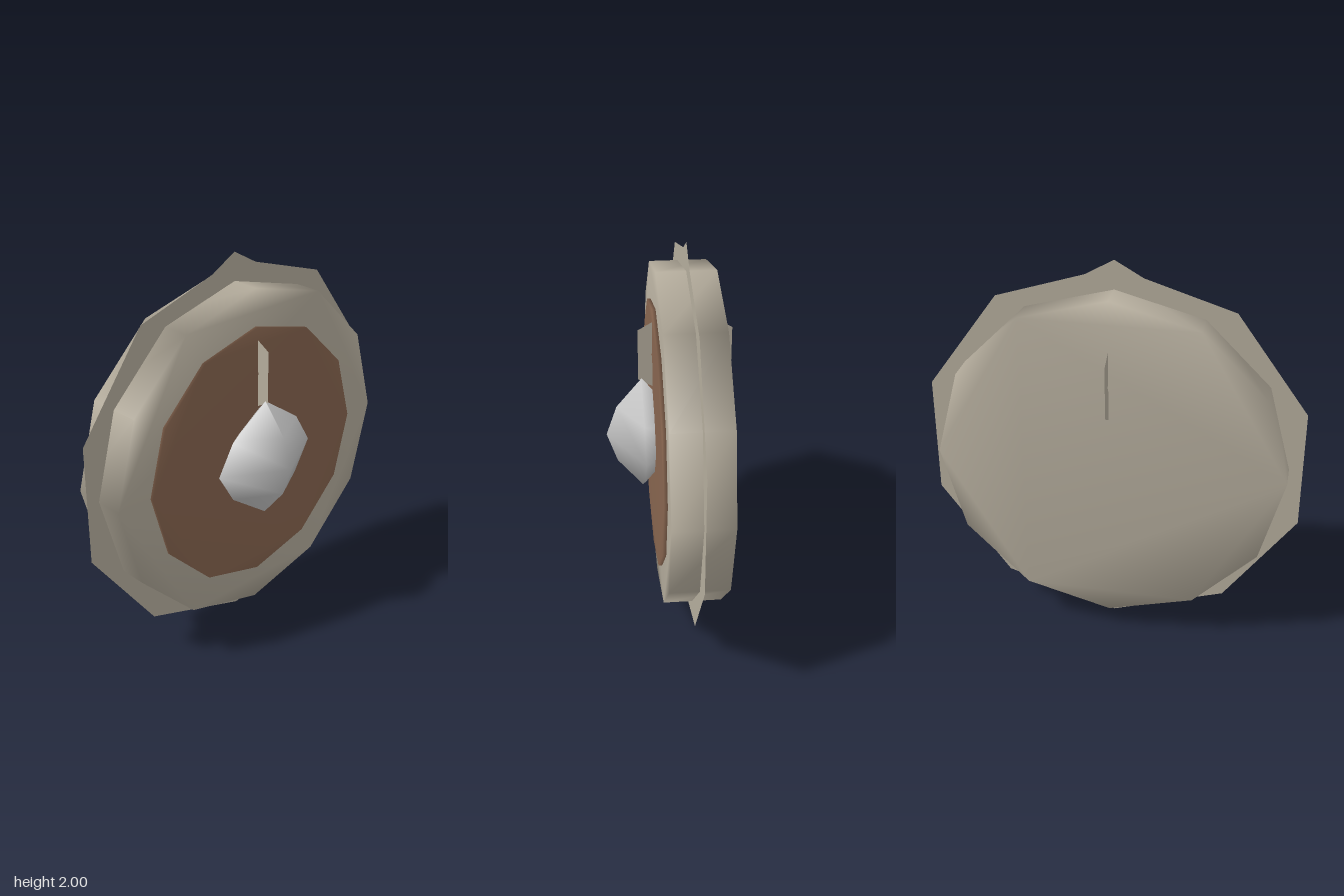
import * as THREE from 'three';
import { mergeVertices } from 'three/addons/utils/BufferGeometryUtils.js';

const CENTRE_Y = 0.985;

// Corner points of a regular polygon; start is the angle of the first corner
function polygon(sides, radius, start = 0) {
  return Array.from({ length: sides }, (_, i) => {
    const a = start + (i / sides) * Math.PI * 2;
    return new THREE.Vector2(Math.cos(a) * radius, Math.sin(a) * radius);
  });
}

// Twelve-sided disc whose normals are smoothed across all edges
function softDisc(radius, back, front) {
  const shape = new THREE.Shape(polygon(12, radius));
  const raw = new THREE.ExtrudeGeometry(shape, { depth: front - back, bevelEnabled: false });
  raw.deleteAttribute('normal');
  raw.deleteAttribute('uv');
  const geometry = mergeVertices(raw, 1e-4);
  geometry.computeVertexNormals();
  geometry.translate(0, CENTRE_Y, back);
  return geometry;
}

// Flat plate with a polygonal hole
function flatRing(outer, inner) {
  const shape = new THREE.Shape(outer);
  shape.holes.push(new THREE.Path(inner));
  return new THREE.ShapeGeometry(shape);
}

export function createModel() {
  const group = new THREE.Group();
  group.name = 'roundShield';

  const stone = new THREE.MeshStandardMaterial({ color: 0xb5ad9d, side: THREE.DoubleSide });
  stone.name = 'pale stone';
  const leather = new THREE.MeshStandardMaterial({ color: 0x87654f });
  leather.name = 'brown leather';
  const steel = new THREE.MeshStandardMaterial({ color: 0xc6c6c6 });
  steel.name = 'light steel';

  const add = (name, geometry, material) => {
    const mesh = new THREE.Mesh(geometry, material);
    mesh.name = name;
    group.add(mesh);
    return mesh;
  };

  // Thick body and the thin facing on its front
  add('body', softDisc(0.87, -0.23, 0.062), stone);
  add('facing', softDisc(0.68, 0.06, 0.08), leather);

  // Flat ten-sided rim with a small peak at the top
  const outline = polygon(10, 0.985, Math.PI / 2).slice(1);
  outline.push(
    new THREE.Vector2(0.14, 0.935),
    new THREE.Vector2(0, 1.015),
    new THREE.Vector2(-0.14, 0.935),
  );
  const rim = add('rim', flatRing(outline, polygon(10, 0.8, Math.PI / 2)), stone);
  rim.position.set(0, CENTRE_Y, -0.083);

  // Flat six-sided grip ring passing through the body
  const grip = add('gripRing', flatRing(polygon(6, 0.266, Math.PI / 2), polygon(6, 0.165)), stone);
  grip.rotation.y = Math.PI / 2;
  grip.position.set(0, 1.425, -0.08);

  // Four-sided faceted boss, squashed front to back
  const profile = [[0, -0.312], [0.22, -0.157], [0.312, 0], [0.22, 0.157], [0, 0.312]]
    .map(([r, y]) => new THREE.Vector2(r, y));
  const boss = add('boss', new THREE.LatheGeometry(profile, 4), steel);
  boss.scale.z = 0.58;
  boss.position.set(0, CENTRE_Y, 0.134);

  return group;
}
